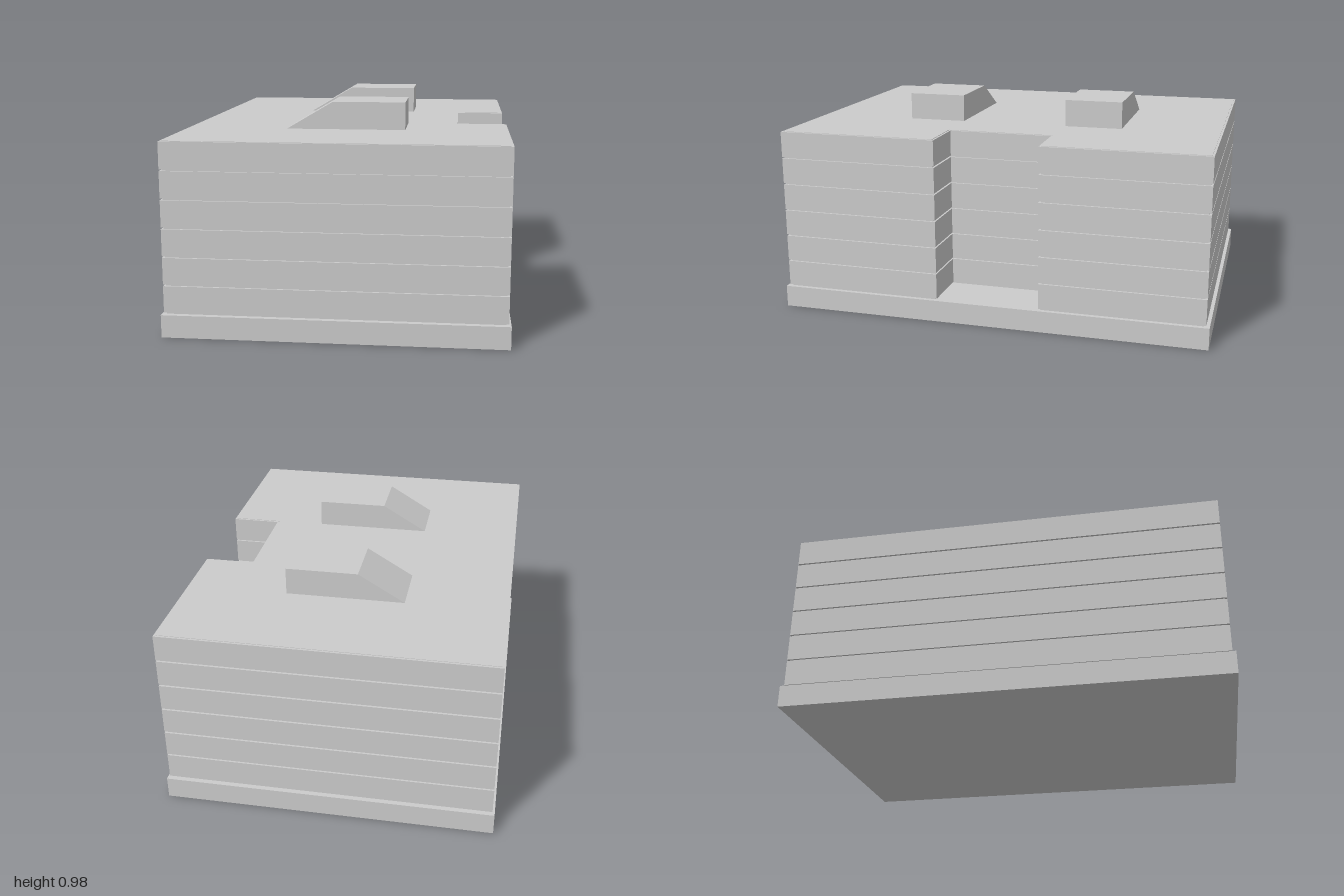
import * as THREE from 'three';

const material = new THREE.MeshStandardMaterial({ color: 0xcccccc, flatShading: true });

const polygon = (points) => new THREE.Shape(points.map(([x, y]) => new THREE.Vector2(x, y)));

function addMesh(parent, name, geometry) {
  const mesh = new THREE.Mesh(geometry, material);
  mesh.name = name;
  parent.add(mesh);
  return mesh;
}

// Building footprint with the entrance recess on the +x side, shrunk by inset
function footprint(inset) {
  const x = 0.735 - inset, z = 0.985 - inset;
  const recessX = 0.505 - inset, recessZ = 0.24 + inset;
  return polygon([
    [-x, -z], [x, -z], [x, -recessZ], [recessX, -recessZ],
    [recessX, recessZ], [x, recessZ], [x, z], [-x, z],
  ]);
}

// Upright slab with the given footprint
function slab(inset, height) {
  const geometry = new THREE.ExtrudeGeometry(footprint(inset), { depth: height, bevelEnabled: false });
  return geometry.rotateX(-Math.PI / 2);
}

export function createModel() {
  const model = new THREE.Group();
  model.name = 'officeBuilding';

  // Plinth
  const baseHeight = 0.1;
  addMesh(model, 'base', new THREE.BoxGeometry(1.49, baseHeight, 2)).position.y = baseHeight / 2;

  // Inner core, visible in the grooves between storeys and as the roof
  addMesh(model, 'core', slab(0.01, 0.752)).position.y = baseHeight;

  // Six storeys separated by thin shadow grooves
  const pitch = 0.125, gap = 0.007;
  const storeys = new THREE.Group();
  storeys.name = 'storeys';
  for (let i = 0; i < 6; i++) {
    addMesh(storeys, `storey${i + 1}`, slab(0, pitch - gap)).position.y = baseHeight + i * pitch + gap;
  }
  model.add(storeys);

  // Two rooftop housings with a sloping end towards -x
  const profile = polygon([[-0.275, 0.85], [0.27, 0.85], [0.27, 0.977], [-0.06, 0.977]]);
  const depth = 0.27;
  for (const [name, z] of [['frontRoofHousing', 0.387], ['backRoofHousing', -0.387]]) {
    const geometry = new THREE.ExtrudeGeometry(profile, { depth, bevelEnabled: false });
    addMesh(model, name, geometry).position.z = z - depth / 2;
  }

  return model;
}
